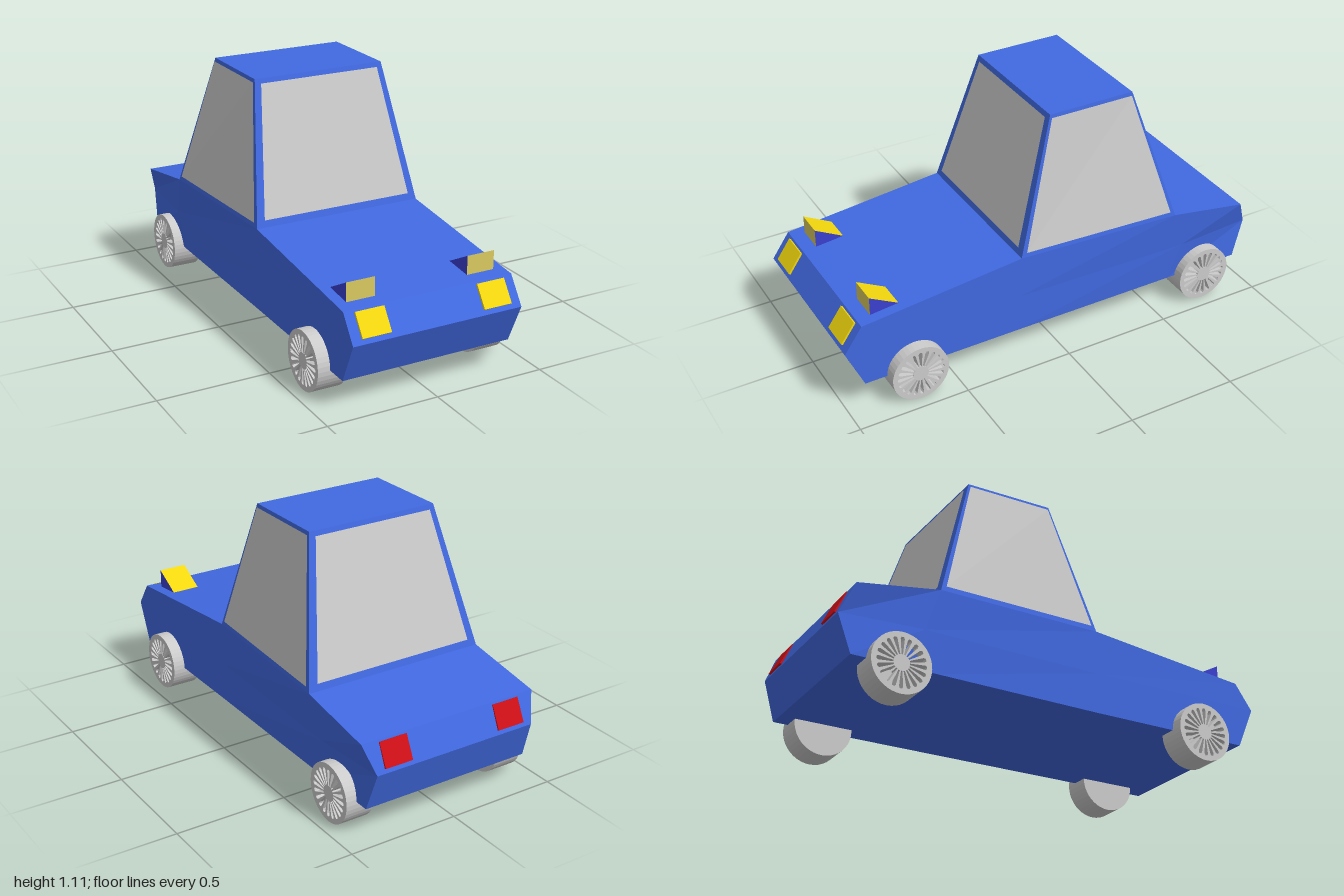
import * as THREE from 'three';

const mat = (color) => new THREE.MeshStandardMaterial({ color, flatShading: true, side: THREE.DoubleSide });
const BLUE = mat(0x4169e1), GREY = mat(0xcccccc), YELLOW = mat(0xf2d80e);
const PALE = mat(0xdccb60), VIOLET = mat(0x3a40d0), RED = mat(0xd01018);

const V = (x, y, z) => new THREE.Vector3(x, y, z);
const flip = (p) => V(-p.x, p.y, p.z);

// Flat-faced shell; every polygon is turned to face away from the centre
function shell(name, material, faces, centre) {
  const pos = [];
  for (const f of faces) {
    const mid = f.reduce((a, p) => a.add(p), V(0, 0, 0)).divideScalar(f.length);
    const n = f[1].clone().sub(f[0]).cross(f[2].clone().sub(f[0]));
    const pts = n.dot(mid.sub(centre)) < 0 ? [...f].reverse() : f;
    for (let i = 1; i < pts.length - 1; i++)
      for (const p of [pts[0], pts[i], pts[i + 1]]) pos.push(p.x, p.y, p.z);
  }
  const g = new THREE.BufferGeometry();
  g.setAttribute('position', new THREE.Float32BufferAttribute(pos, 3));
  g.computeVertexNormals();
  const m = new THREE.Mesh(g, material);
  m.name = name;
  return m;
}

// Window pane inset in a quad (bottom a-b, top d-c) and lifted off it
function pane(name, [a, b, c, d], u, v0, v1, centre) {
  const at = (s, t) => a.clone().lerp(b, s).lerp(d.clone().lerp(c, s), t);
  const n = b.clone().sub(a).cross(d.clone().sub(a)).normalize();
  if (n.dot(a.clone().sub(centre)) < 0) n.negate();
  const corners = [at(u, v0), at(1 - u, v0), at(1 - u, 1 - v1), at(u, 1 - v1)];
  return shell(name, GREY, [corners.map((p) => p.addScaledVector(n, 0.004))], centre);
}

// Wheel: solid inner drum and a slotted outer disc, axle along +x
function makeWheel() {
  const wheel = new THREE.Group();
  const R = 0.13, drumW = 0.083, discW = 0.047, slots = 20;
  const drum = new THREE.Mesh(new THREE.CylinderGeometry(R, R, drumW, 40), GREY);
  drum.name = 'wheelDrum';
  drum.rotation.z = Math.PI / 2;
  drum.position.x = drumW / 2;
  const face = new THREE.Shape().absarc(0, 0, R, 0, Math.PI * 2);
  for (let i = 0; i < slots; i++) {
    const a = (i / slots) * Math.PI * 2;
    const p = (r, w) => new THREE.Vector2(r, w).rotateAround(new THREE.Vector2(), a);
    face.holes.push(new THREE.Path([p(0.035, -0.003), p(0.035, 0.003), p(0.1, 0.009),
      p(0.108, 0.005), p(0.108, -0.005), p(0.1, -0.009)]));
  }
  const disc = new THREE.Mesh(
    new THREE.ExtrudeGeometry(face, { depth: discW, bevelEnabled: false, curveSegments: 20 }), GREY);
  disc.name = 'wheelSpokes';
  disc.rotation.y = Math.PI / 2;
  disc.position.x = drumW;
  wheel.add(drum, disc);
  return wheel;
}

export function createModel() {
  const car = new THREE.Group();
  car.name = 'car';
  const centre = V(0, 0.3, 0);

  // Lower body: left-side points (bottom, middle, top) from nose to tail
  const stations = [
    [V(0.39, 0.13, 0.92), V(0.39, 0.31, 1), V(0.39, 0.425, 0.92)],
    [V(0.39, 0.132, 0.18), V(0.392, 0.31, 0.18), V(0.393, 0.505, 0.18)],
    [V(0.398, 0.138, -0.58), V(0.411, 0.31, -0.64), V(0.425, 0.495, -0.58)],
    [V(0.398, 0.14, -0.945), V(0.385, 0.31, -1), V(0.425, 0.435, -0.945)],
  ];
  const faces = [];
  for (let i = 0; i < 3; i++) {
    const s = stations[i], t = stations[i + 1];
    for (let k = 0; k < 2; k++) {
      const quad = [s[k], t[k], t[k + 1], s[k + 1]];
      faces.push(quad, quad.map(flip));
    }
    for (const k of [0, 2]) faces.push([s[k], t[k], flip(t[k]), flip(s[k])]);
  }
  for (const s of [stations[0], stations[3]])
    for (let k = 0; k < 2; k++) faces.push([s[k], s[k + 1], flip(s[k + 1]), flip(s[k])]);
  car.add(shell('body', BLUE, faces, centre));

  // Cabin and its windows
  const mid = V(0, 0.75, -0.2);
  const fb = stations[1][2], rb = stations[2][2];
  const ft = V(0.307, 1.105, 0), rt = V(0.307, 1.105, -0.4);
  const front = [flip(fb), fb, ft, flip(ft)];
  const rear = [rb, flip(rb), flip(rt), rt];
  const left = [fb, rb, rt, ft], right = left.map(flip);
  car.add(shell('cabin', BLUE, [front, rear, left, right, [ft, rt, flip(rt), flip(ft)]], mid));
  car.add(pane('windshield', front, 0.045, 0.05, 0.035, mid));
  car.add(pane('rearWindow', rear, 0.045, 0.05, 0.035, mid));
  car.add(pane('leftWindow', left, 0.025, 0.035, 0.025, mid));
  car.add(pane('rightWindow', right, 0.025, 0.035, 0.025, mid));

  for (const [side, s] of [['left', 1], ['right', -1]]) {
    // Lamps lying on the sloped nose and tail
    const lamp = (name, material, y, z, tilt) => {
      const m = new THREE.Mesh(new THREE.BoxGeometry(0.13, 0.108, 0.018), material);
      m.name = side + name;
      m.position.set(s * 0.28, y, z);
      m.rotation.x = tilt;
      car.add(m);
    };
    lamp('FrontLamp', YELLOW, 0.372, 0.957, -0.608);
    lamp('TailLamp', RED, 0.375, -0.968, 0.448);

    // Raised headlight: wedge with a lamp plate and a yellow lid
    const x0 = s * 0.215, x1 = s * 0.343, c = V(s * 0.28, 0.46, 0.81);
    const tri = (x) => [V(x, 0.42, 0.86), V(x, 0.515, 0.86), V(x, 0.442, 0.725)];
    const a = tri(x0), b = tri(x1);
    car.add(shell(side + 'HeadlightPod', VIOLET, [a, b], c));
    car.add(shell(side + 'HeadlightLens', PALE, [[a[0], b[0], b[1], a[1]]], c));
    car.add(shell(side + 'HeadlightLid', YELLOW, [[a[1], b[1], b[2], a[2]]], c));

    // Wheels
    for (const [end, z] of [['Front', 0.69], ['Rear', -0.75]]) {
      const wheel = makeWheel();
      wheel.name = side + end + 'Wheel';
      wheel.position.set(s * 0.315, 0.13, z);
      if (s < 0) wheel.rotation.y = Math.PI;
      car.add(wheel);
    }
  }
  return car;
}
